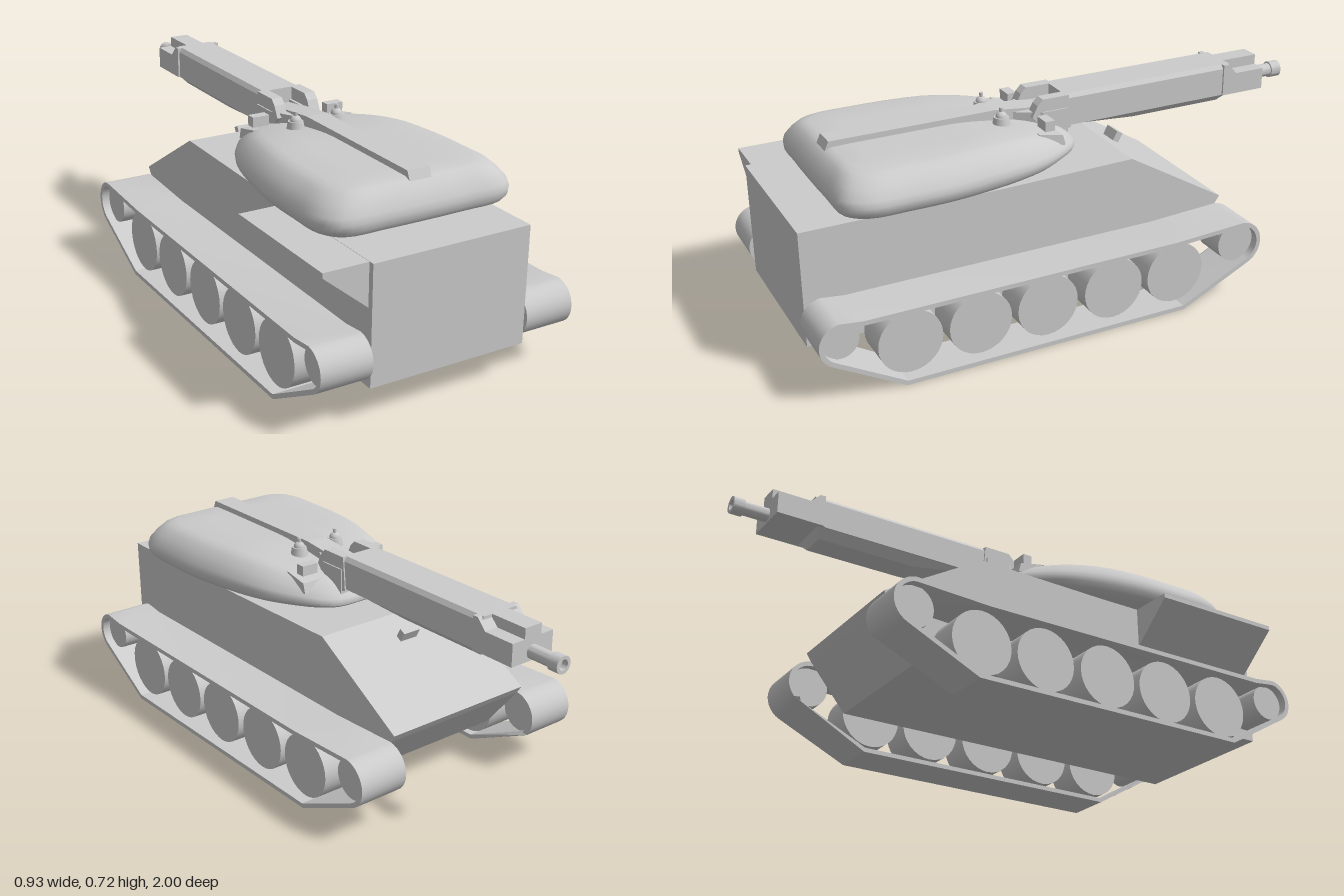
import * as THREE from 'three';
import { toCreasedNormals } from 'three/addons/utils/BufferGeometryUtils.js';

const material = new THREE.MeshStandardMaterial({ color: 0xcccccc, side: THREE.DoubleSide });

function add(parent, name, geometry, x = 0, y = 0, z = 0) {
  const mesh = new THREE.Mesh(geometry, material);
  mesh.name = name;
  mesh.position.set(x, y, z);
  parent.add(mesh);
  return mesh;
}

const shapeOf = (pts) => new THREE.Shape(pts.map(([a, b]) => new THREE.Vector2(a, b)));

// Extrude a (z, y) side profile across x0..x1
function sideExtrude(shape, x0, x1) {
  const g = new THREE.ExtrudeGeometry(shape, { depth: x1 - x0, bevelEnabled: false });
  return g.rotateY(-Math.PI / 2).translate(x1, 0, 0);
}

// Extrude an (x, z) plan upwards over y0..y1
function planExtrude(pts, y0, y1) {
  const g = new THREE.ExtrudeGeometry(shapeOf(pts), { depth: y1 - y0, bevelEnabled: false });
  return g.rotateX(Math.PI / 2).translate(0, y1, 0);
}

const arc = (z, y, r, from, to, n) => Array.from({ length: n + 1 }, (_, i) => {
  const a = THREE.MathUtils.degToRad(from + (to - from) * i / n);
  return [z + r * Math.cos(a), y + r * Math.sin(a)];
});

// Track loop outline, shrunk by t for the inner face
const trackOutline = (t) => [
  ...arc(-0.545, 0.2, 0.085 - t, 95, 245, 14),
  [-0.32 + t * 0.2, t], [0.72 - t * 0.2, t],
  ...arc(0.923, 0.205, 0.077 - t, -62, 85, 14),
  [0.85, 0.272 - t], [-0.28, 0.272 - t],
];

function createTrack(side) {
  const group = new THREE.Group();
  group.name = side > 0 ? 'leftTrack' : 'rightTrack';
  const shape = shapeOf(trackOutline(0));
  shape.holes.push(new THREE.Path(trackOutline(0.016).map(([z, y]) => new THREE.Vector2(z, y))));
  const belt = sideExtrude(shape, 0.285, 0.465);
  // The lower run is slightly narrower on its inner edge
  const p = belt.attributes.position;
  for (let i = 0; i < p.count; i++) if (p.getX(i) < 0.3 && p.getY(i) < 0.14) p.setX(i, 0.302);
  belt.scale(side, 1, 1);
  if (side < 0) {
    // restore winding after mirroring
    const a = p.array;
    for (let i = 0; i < a.length; i += 9) {
      for (let k = 0; k < 3; k++) [a[i + k], a[i + 3 + k]] = [a[i + 3 + k], a[i + k]];
    }
  }
  add(group, 'trackBelt', toCreasedNormals(belt, 0.4));

  const wheels = [0.69, 0.445, 0.2, -0.05, -0.295].map((z) => ['roadWheel', z, 0.138, 0.111]);
  wheels.push(['idlerWheel', 0.923, 0.205, 0.064], ['driveWheel', -0.545, 0.2, 0.073]);
  for (const [name, z, y, r] of wheels) {
    const g = new THREE.CylinderGeometry(r, r, 0.125, 32).rotateZ(Math.PI / 2);
    add(group, name, g, side * 0.373, y, z);
  }
  return group;
}

// Turret shell: rounded plan rings stacked with varying inset, nose sloping down
function turretShell() {
  const half = [[0.13, -0.06], [0.25, 0.08], [0.31, 0.22], [0.355, 0.46], [0.36, 0.64], [0.352, 0.78], [0.3, 0.843], [0.15, 0.853]];
  const pts = [[0, -0.075], ...half, [0, 0.855], ...half.slice().reverse().map(([x, z]) => [-x, z])];
  const plan = new THREE.CatmullRomCurve3(pts.map(([x, z]) => new THREE.Vector3(x, 0, z)), true, 'centripetal').getPoints(72);
  const rings = [[0.36, 0.535], [0.045, 0.535], [0.018, 0.545], [0.003, 0.562], [0, 0.585], [0.006, 0.605],
    [0.03, 0.635], [0.055, 0.658], [0.075, 0.668], [0.1, 0.674], [0.2, 0.675], [0.36, 0.675]];
  const pos = [], idx = [], n = plan.length;
  for (const [d, y] of rings) {
    for (const p of plan) {
      const x = p.x * (1 - d / 0.36);
      const z = 0.4 + (p.z - 0.4) * (1 - d * (d > 0.3 ? 1 : 0.75) / 0.45);
      const nose = 1 - 0.48 * Math.pow(THREE.MathUtils.clamp((0.36 - z) / 0.43, 0, 1), 1.6);
      pos.push(x, 0.535 + (y - 0.535) * nose, z);
    }
  }
  for (let r = 0; r < rings.length - 1; r++) {
    for (let i = 0; i < n - 1; i++) {
      const a = r * n + i, b = a + n;
      idx.push(a, b, a + 1, a + 1, b, b + 1);
    }
  }
  const g = new THREE.BufferGeometry();
  g.setAttribute('position', new THREE.Float32BufferAttribute(pos, 3));
  g.setIndex(idx);
  return toCreasedNormals(g, 0.7);
}

function createTurret() {
  const turret = new THREE.Group();
  turret.name = 'turret';
  add(turret, 'turretRing', new THREE.CylinderGeometry(0.23, 0.23, 0.03, 40), 0, 0.528, 0.26);
  add(turret, 'turretShell', turretShell());
  // Raised spine flaring out into the gun mount
  add(turret, 'spine', sideExtrude(shapeOf([[0.815, 0.64], [0.79, 0.695], [0.2, 0.695], [0.06, 0.68],
    [-0.05, 0.665], [-0.05, 0.58], [0.2, 0.6]]), -0.04, 0.04));
  for (const s of [-1, 1]) {
    add(turret, 'mountFlare', planExtrude([[s * 0.035, 0.14], [s * 0.09, 0.04], [s * 0.09, -0.055], [s * 0.035, -0.055]], 0.58, 0.675));
    const cheek = shapeOf([[0.08, 0.66], [0.06, 0.7], [0.04, 0.72], [-0.06, 0.72], [-0.07, 0.6], [-0.03, 0.59], [0.03, 0.6]]);
    add(turret, 'gunMountCheek', sideExtrude(cheek, s > 0 ? 0.045 : -0.085, s > 0 ? 0.085 : -0.045));
    // Domed periscopes
    add(turret, 'periscopeBase', new THREE.CylinderGeometry(0.026, 0.033, 0.035, 16), s * 0.08, 0.668, 0.195);
    add(turret, 'periscopeDome', new THREE.SphereGeometry(0.02, 16, 8, 0, Math.PI * 2, 0, Math.PI / 2), s * 0.08, 0.685, 0.195);
    add(turret, 'periscopeCap', new THREE.CylinderGeometry(0.007, 0.007, 0.018, 8), s * 0.08, 0.709, 0.195);
    // Sight blocks on wedge pedestals
    add(turret, 'sightPedestal', sideExtrude(shapeOf([[0.11, 0.6], [0.11, 0.645], [0.02, 0.627], [0.01, 0.59]]),
      s > 0 ? 0.1 : -0.195, s > 0 ? 0.195 : -0.1));
    add(turret, 'sightBlock', new THREE.BoxGeometry(0.062, 0.036, 0.035), s * 0.147, 0.66, 0.06);
  }
  return turret;
}

function createGun() {
  const gun = new THREE.Group();
  gun.name = 'gun';
  // Long housing with chamfered upper edges
  const section = [[-0.08, 0.605], [0.08, 0.605], [0.08, 0.705], [0.068, 0.72], [-0.068, 0.72], [-0.08, 0.705]];
  add(gun, 'gunHousing', new THREE.ExtrudeGeometry(shapeOf(section), { depth: 0.68, bevelEnabled: false }), 0, 0, -0.73);
  const belly = sideExtrude(shapeOf([[-0.07, 0.608], [-0.34, 0.575], [-0.7, 0.575], [-0.722, 0.608]]), -0.078, 0.078);
  const p = belly.attributes.position;
  for (let i = 0; i < p.count; i++) if (p.getY(i) < 0.6) p.setX(i, p.getX(i) * 0.6);
  belly.computeVertexNormals();
  add(gun, 'housingBelly', belly);
  // Muzzle block: low shoulders with a raised centre rib
  add(gun, 'muzzleBlock', sideExtrude(shapeOf([[-0.7, 0.605], [-0.7, 0.72], [-0.72, 0.72], [-0.755, 0.683],
    [-0.872, 0.683], [-0.872, 0.605]]), -0.087, 0.087));
  add(gun, 'muzzleRib', new THREE.BoxGeometry(0.07, 0.1, 0.17), 0, 0.67, -0.787);
  const barrel = [[0, 0], [0.024, 0], [0.024, 0.092], [0.03, 0.092], [0.03, 0.132], [0.018, 0.132], [0.018, 0.11], [0, 0.11]];
  const g = new THREE.LatheGeometry(barrel.map(([r, y]) => new THREE.Vector2(r, y)), 20).rotateX(-Math.PI / 2);
  add(gun, 'barrel', toCreasedNormals(g, 0.6), 0, 0.635, -0.868);
  return gun;
}

export function createModel() {
  const model = new THREE.Group();
  model.name = 'tank';

  // Hull with sloped nose plate
  const hull = [[0.985, 0.118], [0.985, 0.522], [0.3, 0.522], [-0.2, 0.53], [-0.57, 0.312], [-0.55, 0.282], [-0.415, 0.118]];
  add(model, 'hull', sideExtrude(shapeOf(hull), -0.285, 0.285));

  // Side stowage wedge, on the right only
  const wedge = shapeOf([[-0.28, 0.371], [-0.28, 0.521], [-0.442, 0.521], [-0.442, 0.505]]);
  add(model, 'stowageWedge', new THREE.ExtrudeGeometry(wedge, { depth: 0.5, bevelEnabled: false }), 0, 0, 0.465);

  // Driver's periscope on the nose plate
  const scope = add(model, 'driverPeriscope', new THREE.BoxGeometry(0.07, 0.045, 0.025), -0.01, 0.492, -0.293);
  scope.rotation.x = -0.5;

  model.add(createTrack(1), createTrack(-1), createTurret(), createGun());
  return model;
}
